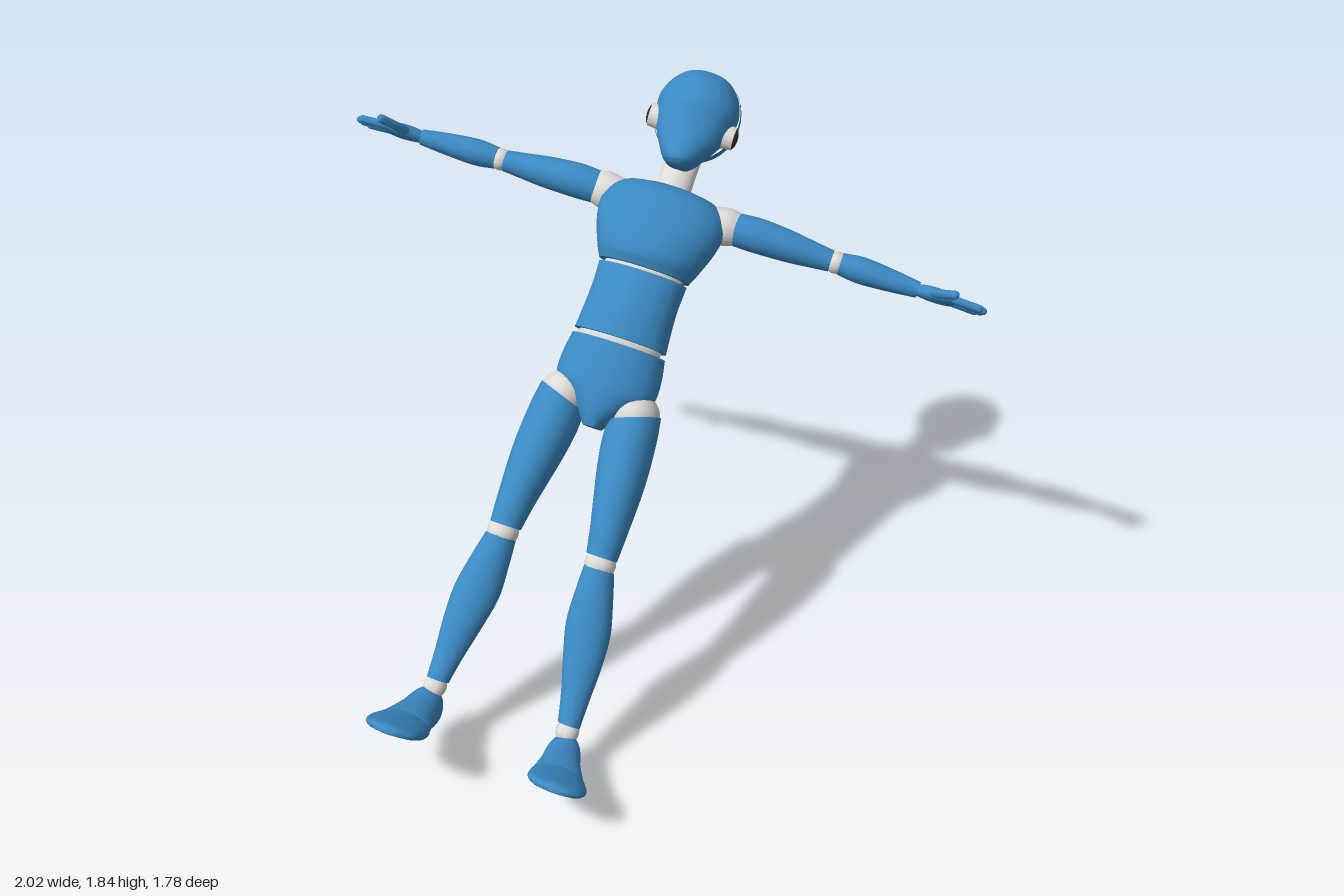
import * as THREE from 'three';
import { toCreasedNormals } from 'three/addons/utils/BufferGeometryUtils.js';

const material = (name, color) => Object.assign(new THREE.MeshStandardMaterial({ color }), { name });

// Closed loft along an axis through stations [t, p, q, rp, rq], t ascending:
// axis y: p,q = z,x   axis x: p,q = y,z   axis z: p,q = x,y
function loft(axis, stations, warp, steps = 6, sides = 28) {
  const centres = new THREE.CatmullRomCurve3(
    stations.map((s) => new THREE.Vector3(s[0], s[1], s[2])), false, 'catmullrom');
  const radii = new THREE.CatmullRomCurve3(
    stations.map((s) => new THREE.Vector3(s[3], s[4], 0)), false, 'catmullrom');
  const order = { x: [0, 1, 2], y: [2, 0, 1], z: [1, 2, 0] }[axis];
  const rows = (stations.length - 1) * steps;
  const positions = [], index = [];
  const put = (t, p, q) => {
    const tpq = [t, p, q];
    const v = new THREE.Vector3(tpq[order[0]], tpq[order[1]], tpq[order[2]]);
    if (warp) warp(v);
    positions.push(v.x, v.y, v.z);
  };
  for (let i = 0; i <= rows; i++) {
    const c = centres.getPoint(i / rows), r = radii.getPoint(i / rows);
    for (let j = 0; j < sides; j++) {
      const angle = (j / sides) * Math.PI * 2;
      put(c.x, c.y + r.x * Math.cos(angle), c.z + r.y * Math.sin(angle));
    }
  }
  const first = positions.length / 3, last = first + 1;
  for (const t of [0, 1]) {
    const c = centres.getPoint(t);
    put(c.x, c.y, c.z);
  }
  for (let j = 0; j < sides; j++) {
    const k = (j + 1) % sides;
    for (let i = 0; i < rows; i++) {
      const a = i * sides, b = a + sides;
      index.push(a + j, a + k, b + k, a + j, b + k, b + j);
    }
    index.push(first, k, j, last, rows * sides + j, rows * sides + k);
  }
  const geometry = new THREE.BufferGeometry();
  geometry.setAttribute('position', new THREE.Float32BufferAttribute(positions, 3));
  geometry.setIndex(index);
  return geometry;
}

// Rounded rod between two points
function rod(from, to, radius) {
  const a = new THREE.Vector3(...from), b = new THREE.Vector3(...to);
  const dir = b.clone().sub(a);
  const geometry = new THREE.CapsuleGeometry(radius, dir.length() - radius, 5, 12);
  geometry.applyQuaternion(
    new THREE.Quaternion().setFromUnitVectors(new THREE.Vector3(0, 1, 0), dir.normalize()));
  const mid = a.add(b).multiplyScalar(0.5);
  return geometry.translate(mid.x, mid.y, mid.z);
}

const ball = (x, y, z, rx, ry, rz) =>
  new THREE.SphereGeometry(1, 24, 16).scale(rx, ry, rz).translate(x, y, z);

function mirrored(geometry) {
  const copy = geometry.clone().scale(-1, 1, 1);
  const idx = copy.index.array;
  for (let i = 0; i < idx.length; i += 3) [idx[i], idx[i + 1]] = [idx[i + 1], idx[i]];
  return copy;
}

export function createModel() {
  const blue = material('blue shell', 0x3b8ac4);
  const white = material('white joint', 0xdedcd8);
  const dark = material('dark ear cap', 0x38342f);
  const body = new THREE.Group();
  body.name = 'body';

  const add = (name, geometry, mat) => {
    const mesh = new THREE.Mesh(toCreasedNormals(geometry, 0.8), mat);
    mesh.name = name;
    body.add(mesh);
  };
  const addPair = (name, geometry, mat) => {
    add('left' + name, geometry, mat);
    add('right' + name, mirrored(geometry), mat);
  };

  // Torso
  add('pelvis', loft('y', [
    [0.735, 0.59, 0, 0.06, 0.03], [0.78, 0.59, 0, 0.085, 0.07], [0.83, 0.592, 0, 0.1, 0.125],
    [0.865, 0.594, 0, 0.105, 0.16], [0.93, 0.596, 0, 0.11, 0.163], [1.0, 0.598, 0, 0.11, 0.152]]), blue);
  add('waistJoint', ball(0, 1.01, 0.6, 0.135, 0.05, 0.092), white);
  add('abdomen', loft('y', [
    [1.018, 0.603, 0, 0.106, 0.15], [1.09, 0.603, 0, 0.11, 0.144],
    [1.16, 0.598, 0, 0.108, 0.141], [1.238, 0.59, 0, 0.1, 0.144]]), blue);
  add('ribJoint', ball(0, 1.245, 0.59, 0.128, 0.05, 0.085), white);
  add('chest', loft('y', [
    [1.25, 0.588, 0, 0.103, 0.148], [1.29, 0.594, 0, 0.124, 0.167], [1.36, 0.59, 0, 0.128, 0.193],
    [1.43, 0.578, 0, 0.12, 0.205], [1.48, 0.568, 0, 0.105, 0.19], [1.515, 0.56, 0, 0.078, 0.145],
    [1.53, 0.555, 0, 0.045, 0.08]]), blue);
  add('neck', loft('y', [[1.48, 0.55, 0, 0.052, 0.062], [1.56, 0.535, 0, 0.043, 0.056],
    [1.68, 0.51, 0, 0.043, 0.056]]), white);

  // Head: rear shell overlapping a tapering face
  add('cranium', new THREE.SphereGeometry(1, 36, 20, 0, Math.PI * 2, 0, 1.738)
    .rotateX(-Math.PI / 2).scale(0.138, 0.147, 0.15).translate(0, 1.775, 0.535), blue);
  add('face', loft('y', [
    [1.588, 0.618, 0, 0.055, 0.036], [1.605, 0.618, 0, 0.073, 0.055], [1.645, 0.604, 0, 0.085, 0.08],
    [1.7, 0.582, 0, 0.096, 0.109], [1.75, 0.567, 0, 0.11, 0.126], [1.8, 0.562, 0, 0.118, 0.131],
    [1.86, 0.554, 0, 0.1, 0.108], [1.9, 0.55, 0, 0.062, 0.066], [1.915, 0.55, 0, 0.01, 0.01]]), blue);
  addPair('EarRing', new THREE.CylinderGeometry(0.036, 0.04, 0.04, 28)
    .rotateZ(-Math.PI / 2).translate(0.118, 1.73, 0.578), white);
  addPair('EarCap', ball(0.137, 1.73, 0.578, 0.012, 0.032, 0.032), dark);

  // Arms
  addPair('ShoulderJoint', loft('x', [
    [0.15, 1.46, 0.556, 0.055, 0.055], [0.2, 1.463, 0.553, 0.06, 0.06],
    [0.235, 1.465, 0.55, 0.052, 0.052]]), white);
  addPair('UpperArm', loft('x', [
    [0.225, 1.465, 0.55, 0.052, 0.054], [0.3, 1.467, 0.546, 0.055, 0.06],
    [0.4, 1.465, 0.54, 0.05, 0.054], [0.48, 1.463, 0.534, 0.041, 0.044],
    [0.542, 1.462, 0.53, 0.034, 0.036]]), blue);
  addPair('ElbowJoint', ball(0.558, 1.462, 0.53, 0.036, 0.035, 0.037), white);
  addPair('Forearm', loft('x', [
    [0.572, 1.462, 0.53, 0.035, 0.038], [0.64, 1.461, 0.53, 0.042, 0.046],
    [0.74, 1.458, 0.532, 0.035, 0.038], [0.825, 1.455, 0.534, 0.025, 0.029]]), blue);
  addPair('Palm', loft('x', [
    [0.822, 1.455, 0.534, 0.018, 0.022], [0.85, 1.455, 0.536, 0.022, 0.035],
    [0.885, 1.454, 0.54, 0.023, 0.05], [0.925, 1.453, 0.54, 0.019, 0.051],
    [0.942, 1.452, 0.538, 0.012, 0.046]]), blue);
  [1.015, 1.032, 1.038, 1.025].forEach((tip, i) => {
    const z = 0.5 + i * 0.025;
    addPair('Finger' + (i + 1), rod([0.925, 1.453, z], [tip, 1.448, z], 0.012), blue);
  });
  addPair('Thumb', rod([0.87, 1.452, 0.575], [0.935, 1.45, 0.68], 0.014), blue);

  // Legs, with the thigh tops slanting up to the outside
  addPair('HipJoint', ball(0.115, 0.815, 0.588, 0.078, 0.07, 0.088), white);
  addPair('Thigh', loft('y', [
    [0.362, 0.614, 0.158, 0.05, 0.05], [0.45, 0.612, 0.152, 0.066, 0.06],
    [0.6, 0.603, 0.138, 0.09, 0.078], [0.72, 0.595, 0.125, 0.095, 0.083],
    [0.8, 0.59, 0.118, 0.088, 0.078]],
  (v) => { v.y += Math.max(0, (v.y - 0.55) / 0.25) * 0.35 * (v.x - 0.118); }), blue);
  addPair('KneeJoint', ball(0.16, 0.342, 0.613, 0.05, 0.045, 0.05), white);
  addPair('Shin', loft('y', [
    [-0.165, 0.55, 0.218, 0.034, 0.036], [-0.08, 0.554, 0.21, 0.04, 0.046],
    [0.04, 0.566, 0.197, 0.05, 0.064], [0.14, 0.578, 0.184, 0.055, 0.073],
    [0.24, 0.597, 0.172, 0.053, 0.062], [0.325, 0.611, 0.162, 0.048, 0.049]]), blue);
  addPair('AnkleJoint', ball(0.22, -0.185, 0.55, 0.037, 0.04, 0.037), white);

  // Feet, flattened at the sole
  const sole = (v) => { v.y = Math.max(v.y, -0.332); };
  addPair('Foot', loft('z', [
    [0.482, 0.224, -0.285, 0.028, 0.045], [0.505, 0.225, -0.272, 0.046, 0.066],
    [0.56, 0.23, -0.265, 0.056, 0.072], [0.62, 0.238, -0.285, 0.064, 0.06],
    [0.7, 0.25, -0.31, 0.084, 0.042]], sole), blue);
  addPair('Toe', loft('z', [
    [0.704, 0.251, -0.311, 0.087, 0.042], [0.76, 0.258, -0.315, 0.093, 0.032],
    [0.815, 0.262, -0.318, 0.078, 0.022], [0.845, 0.264, -0.319, 0.04, 0.014],
    [0.852, 0.264, -0.319, 0.008, 0.006]], sole), blue);

  // Lean the whole figure back with a slight roll
  const left = new THREE.Vector3(0.965, -0.183, -0.188).normalize();
  const front = left.clone().cross(new THREE.Vector3(0.02, 0.77, -0.64)).normalize();
  const up = front.clone().cross(left);
  body.quaternion.setFromRotationMatrix(new THREE.Matrix4().makeBasis(left, up, front));
  body.position.x = -0.168;

  const model = new THREE.Group();
  model.name = 'mannequin';
  model.add(body);
  return model;
}
